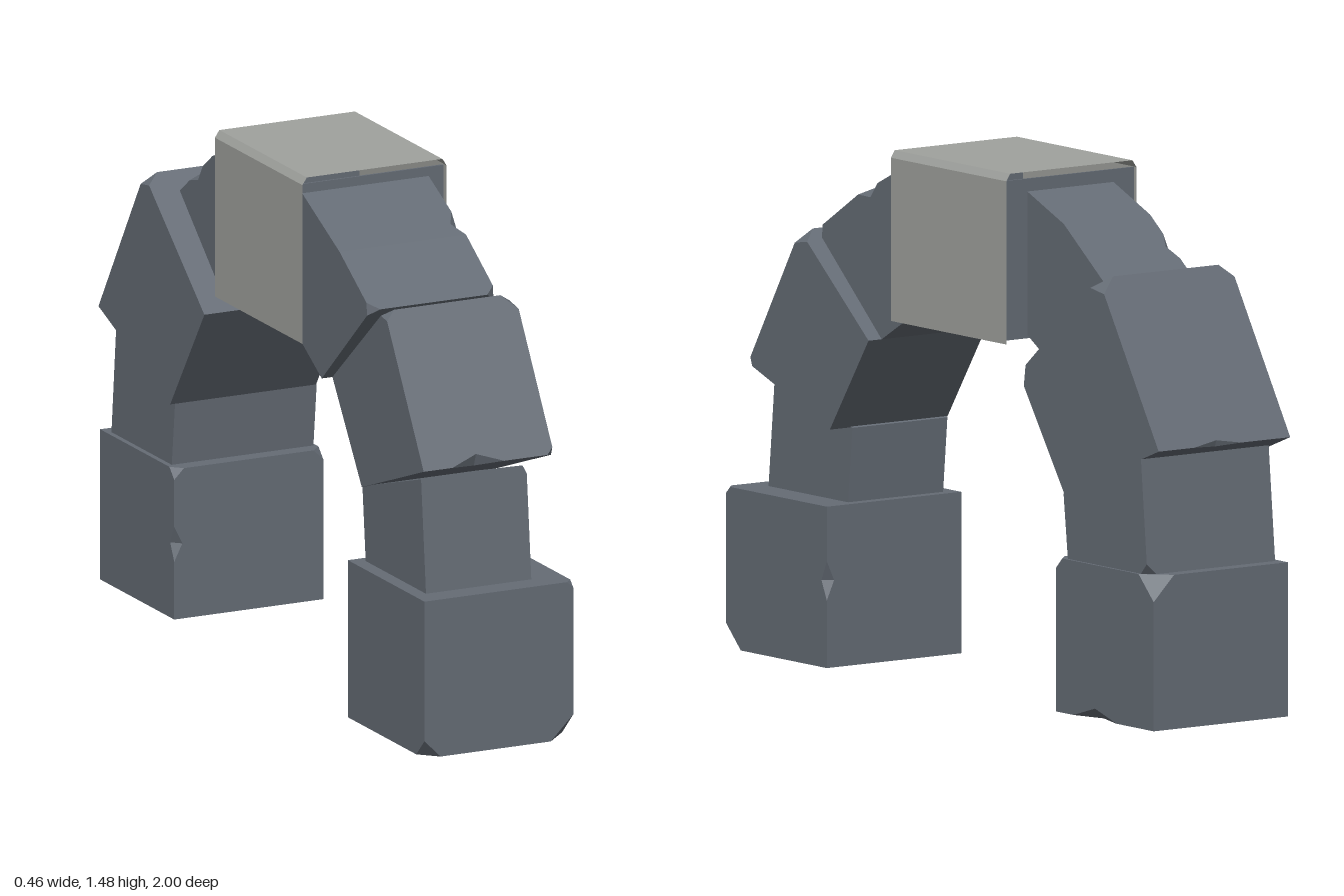
import * as THREE from 'three';

const slate = new THREE.MeshStandardMaterial({ color: 0x656c75 });
slate.name = 'slate stone';
slate.flatShading = true;
const pale = new THREE.MeshStandardMaterial({ color: 0xa0a29e, side: THREE.DoubleSide });
pale.name = 'pale stone';
pale.flatShading = true;

// Chipped prism: profile of [z, y] corners spanning x0..x1.
// Corner i lies on the x0 side, corner n + i on the x1 side.
// chips: { corner: size }, nicks: [cornerA, cornerB, position, halfLength, depth]
function block(name, profile, x0, x1, chips = {}, nicks = []) {
  const n = profile.length;
  const pts = [x0, x1].flatMap(x => profile.map(([z, y]) => new THREE.Vector3(x, y, z)));
  const mean = list => list.reduce((s, p) => s.add(p), new THREE.Vector3()).divideScalar(list.length);
  const centre = mean(pts);
  const out = [];
  const tri = (a, b, c, dir) => {
    const nrm = b.clone().sub(a).cross(c.clone().sub(a));
    const order = nrm.dot(dir) < 0 ? [a, c, b] : [a, b, c];
    order.forEach(p => out.push(p.x, p.y, p.z));
  };
  const toward = (a, b, d) => a.clone().add(b.clone().sub(a).setLength(d));

  // faces: two sides and one quad per profile edge
  const ring = [...Array(n).keys()];
  const faces = [ring, ring.map(i => n + i)];
  ring.forEach(i => faces.push([i, (i + 1) % n, n + (i + 1) % n, n + i]));
  const nickPts = nicks.map(() => []);
  const chipPts = {};

  for (const f of faces) {
    const mid = mean(f.map(i => pts[i]));
    const u = pts[f[1]].clone().sub(pts[f[0]]).normalize();
    const normal = u.clone().cross(pts[f[2]].clone().sub(pts[f[1]])).normalize();
    if (normal.dot(mid.clone().sub(centre)) < 0) normal.negate();
    const v = normal.clone().cross(u);
    const loop = [];
    f.forEach((c, k) => {
      const prev = f[(k + f.length - 1) % f.length], next = f[(k + 1) % f.length];
      if (chips[c]) {
        loop.push(toward(pts[c], pts[prev], chips[c]), toward(pts[c], pts[next], chips[c]));
        const set = chipPts[c] ??= {};
        set[prev] = loop.at(-2);
        set[next] = loop.at(-1);
      } else loop.push(pts[c]);
      nicks.forEach(([a, b, t, half, depth], j) => {
        if (!((a === c && b === next) || (b === c && a === next))) return;
        const edge = pts[b].clone().sub(pts[a]), len = edge.length();
        edge.normalize();
        const at = s => pts[a].clone().addScaledVector(edge, s);
        const p = at(t * len - half), q = at(t * len + half), m = at(t * len);
        const inward = mid.clone().sub(m);
        inward.addScaledVector(edge, -inward.dot(edge)).setLength(depth);
        m.add(inward);
        loop.push(...(a === c ? [p, m, q] : [q, m, p]));
        nickPts[j].push([p, q, m]);
      });
    });
    const flat = loop.map(p => new THREE.Vector2(p.dot(u), p.dot(v)));
    THREE.ShapeUtils.triangulateShape(flat, []).forEach(([a, b, c]) => tri(loop[a], loop[b], loop[c], normal));
  }
  // broken surfaces of corners and edges
  for (const c in chipPts) tri(...Object.values(chipPts[c]), pts[c].clone().sub(centre));
  for (const [[p, q, m1], [, , m2]] of nickPts) {
    const dir = p.clone().add(q).multiplyScalar(0.5).sub(m1.clone().add(m2).multiplyScalar(0.5));
    tri(p, m1, m2, dir);
    tri(q, m1, m2, dir);
  }
  return mesh(name, out, slate);
}

function mesh(name, positions, material) {
  const g = new THREE.BufferGeometry();
  g.setAttribute('position', new THREE.Float32BufferAttribute(positions, 3));
  g.computeVertexNormals();
  const m = new THREE.Mesh(g, material);
  m.name = name;
  return m;
}

export function createModel() {
  const arch = new THREE.Group();
  arch.name = 'stoneArch';

  // front half of the arch
  arch.add(
    block('frontFoot', [[1, 0], [1, 0.45], [0.53, 0.45], [0.53, 0]], -0.23, 0.23,
      { 0: 0.05, 4: 0.07, 5: 0.02 }, [[6, 7, 0.46, 0.055, 0.025]]),
    block('frontPost', [[0.93, 0.45], [0.9, 0.77], [0.54, 0.66], [0.56, 0.45]], -0.19, 0.135, { 5: 0.025 }),
    block('frontShoulder', [[0.93, 0.8], [0.69, 1.2], [0.37, 0.93], [0.55, 0.66]], -0.197, 0.205,
      { 1: 0.03, 5: 0.045, 4: 0.02 }, [[0, 4, 0.42, 0.08, 0.03]]),
    block('frontVoussoir', [[0.67, 1.2], [0.48, 1.32], [0.25, 1.43], [0.25, 1.0], [0.37, 0.93]], -0.23, 0.16,
      { 0: 0.03, 5: 0.03 }, [[6, 7, 0.2, 0.05, 0.025]]),
  );

  // back half of the arch
  arch.add(
    block('backFoot', [[-0.99, 0.01], [-0.99, 0.44], [-0.535, 0.44], [-0.535, 0.01]], -0.23, 0.23,
      { 5: 0.07, 6: 0.03, 2: 0.03 }, [[4, 7, 0.6, 0.1, 0.03], [2, 3, 0.5, 0.05, 0.025]]),
    block('backPost', [[-0.95, 0.44], [-0.92, 0.76], [-0.56, 0.62], [-0.58, 0.44]], -0.215, 0.222, { 4: 0.03 }),
    block('backShoulder', [[-1, 0.79], [-0.72, 1.24], [-0.35, 0.93], [-0.56, 0.62]], -0.23, 0.22,
      { 1: 0.04, 5: 0.05, 6: 0.04 }, [[0, 4, 0.55, 0.08, 0.015]]),
    block('backVoussoir', [[-0.65, 1.2], [-0.45, 1.35], [-0.28, 1.42], [-0.28, 1.02], [-0.38, 0.96]], -0.155, 0.14,
      {}, [[0, 1, 0.5, 0.05, 0.02]]),
  );

  // end faces of the hollow keystone
  for (const [name, z] of [['keystoneFrontFace', 0.243], ['keystoneBackFace', -0.273]]) {
    const face = new THREE.Mesh(new THREE.BoxGeometry(0.436, 0.445, 0.006), slate);
    face.name = name;
    face.position.set(-0.01, 1.2325, z);
    arch.add(face);
  }

  // pale keystone cover: a folded sheet open below
  const fold = [[-0.232, 1], [-0.232, 1.455], [-0.218, 1.475], [0.2, 1.475], [0.213, 1.455], [0.213, 1]];
  const sheet = [];
  for (let i = 0; i < fold.length - 1; i++) {
    const [ax, ay] = fold[i], [bx, by] = fold[i + 1];
    const a = [ax, ay, 0.255], b = [bx, by, 0.255], c = [bx, by, -0.282], d = [ax, ay, -0.282];
    sheet.push(...a, ...b, ...c, ...a, ...c, ...d);
  }
  for (let i = 0; i < sheet.length; i += 9) {
    // outward winding
    for (let k = 0; k < 3; k++) [sheet[i + 3 + k], sheet[i + 6 + k]] = [sheet[i + 6 + k], sheet[i + 3 + k]];
  }
  arch.add(mesh('keystoneCover', sheet, pale));
  return arch;
}
